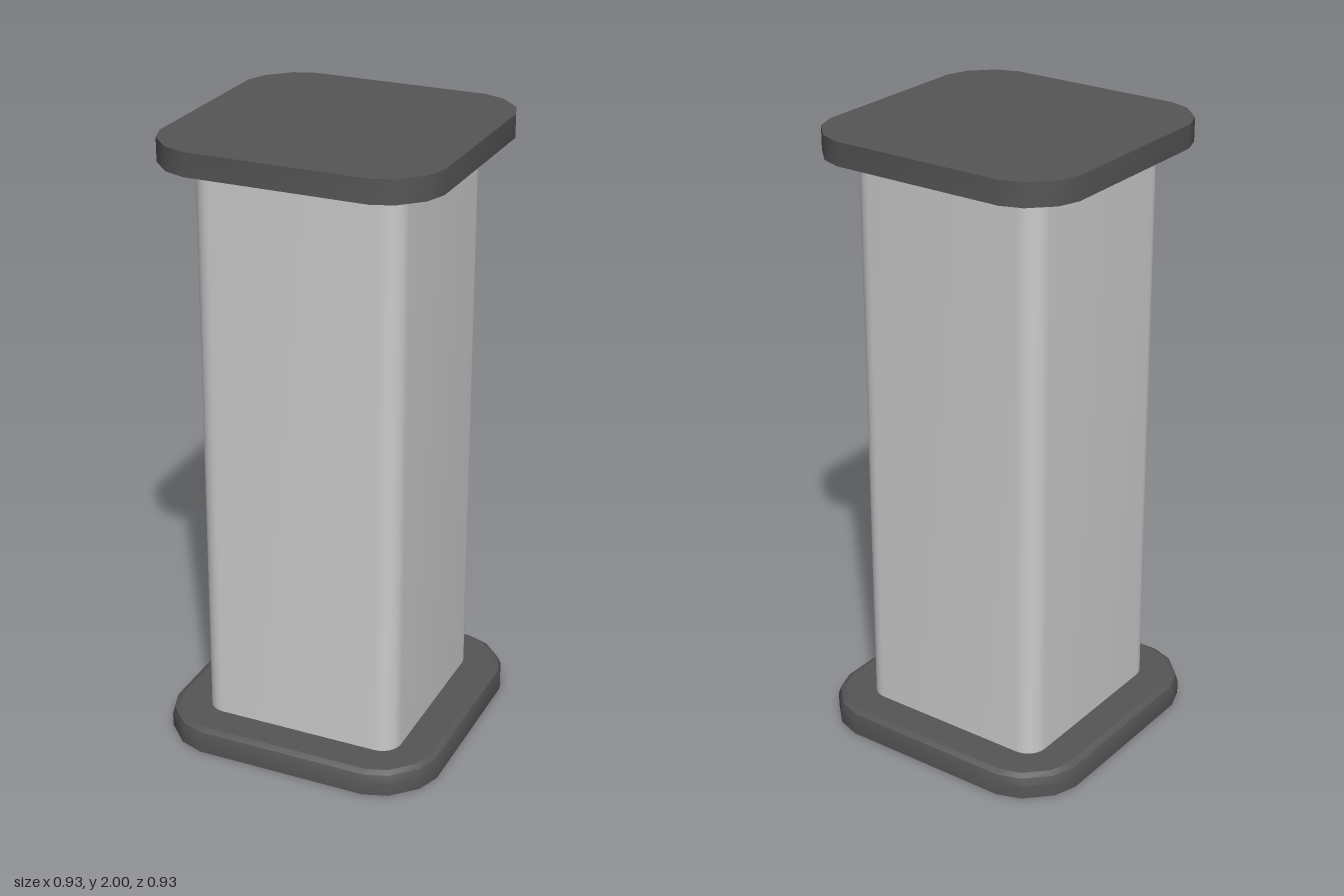
import * as THREE from 'three';
import { toCreasedNormals } from 'three/addons/utils/BufferGeometryUtils.js';

// Rounded-square outline: one corner (from +x side to +z side) turned four times.
// Each corner point is a [u, v] fraction of the corner radius.
function outline(half, radius, corner) {
  const c = half - radius;
  const points = [];
  for (let q = 0; q < 4; q++) {
    for (const [u, v] of corner) {
      let x = c + u * radius, z = c + v * radius;
      for (let k = 0; k < q; k++) [x, z] = [-z, x];
      points.push([x, z]);
    }
  }
  return points;
}

// Closed solid through horizontal sections [half width, corner radius, y], bottom to top
function loft(sections, corner) {
  const n = corner.length * 4;
  const positions = [], index = [];
  for (const [half, radius, y] of sections) {
    for (const [x, z] of outline(half, radius, corner)) positions.push(x, y, z);
  }
  const bottom = positions.length / 3, top = bottom + 1;
  const last = (sections.length - 1) * n;
  positions.push(0, sections[0][2], 0, 0, sections[sections.length - 1][2], 0);
  for (let i = 0; i < n; i++) {
    const j = (i + 1) % n;
    for (let s = 0; s < last; s += n) {
      index.push(s + i, s + n + i, s + j, s + j, s + n + i, s + n + j);
    }
    index.push(bottom, i, j, top, last + j, last + i);
  }
  const geometry = new THREE.BufferGeometry();
  geometry.setAttribute('position', new THREE.Float32BufferAttribute(positions, 3));
  geometry.setIndex(index);
  return toCreasedNormals(geometry, 0.5);
}

export function createModel() {
  const group = new THREE.Group();
  const grey = new THREE.MeshStandardMaterial({ color: 0xcccccc });
  const dark = new THREE.MeshStandardMaterial({ color: 0x555555 });

  const add = (name, geometry, material) => {
    const mesh = new THREE.Mesh(geometry, material);
    mesh.name = name;
    group.add(mesh);
  };

  // Plates have broad three-facet corners, the column finely rounded ones
  const plateCorner = [[1, 0], [0.85, 0.43], [0.43, 0.85], [0, 1]];
  const roundCorner = [];
  for (let i = 0; i <= 8; i++) {
    const a = (i / 8) * Math.PI / 2;
    roundCorner.push([Math.cos(a), Math.sin(a)]);
  }

  // Base plate with a softened upper edge
  add('basePlate', loft([
    [0.463, 0.178, 0], [0.463, 0.178, 0.045], [0.455, 0.17, 0.069], [0.437, 0.152, 0.079],
  ], plateCorner), dark);

  // Square column
  add('column', loft([[0.332, 0.065, 0.07], [0.332, 0.065, 1.935]], roundCorner), grey);

  // Square-edged top plate
  add('topPlate', loft([[0.444, 0.159, 1.926], [0.444, 0.159, 2]], plateCorner), dark);

  return group;
}
